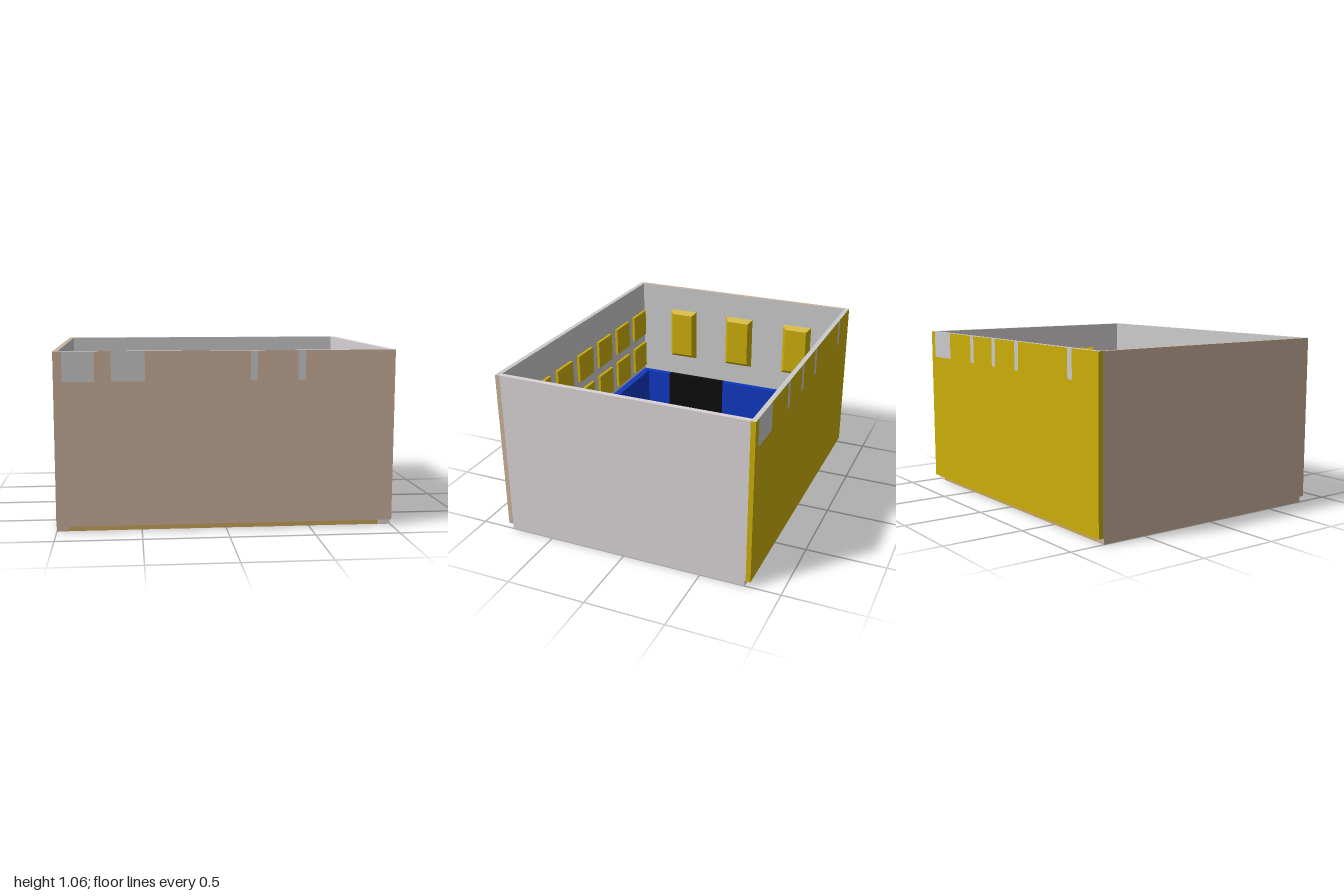
import * as THREE from 'three';

const mat = (color) => new THREE.MeshStandardMaterial({ color });

export function createModel() {
  const room = new THREE.Group();
  room.name = 'openRoom';

  const grey = mat(0xcccccc), tan = mat(0xcbb29c), yellow = mat(0xcbae08), white = mat(0xdad4d6);
  const blue = mat(0x1038c0), wood = mat(0xc9a55b), lineBlue = mat(0x3c3cc4), black = mat(0x0c0c0c);

  const add = (name, geometry, material) => {
    const mesh = new THREE.Mesh(geometry, material);
    mesh.name = name;
    room.add(mesh);
    return mesh;
  };
  // Box given by its lower and upper corner
  const box = (name, material, x0, x1, y0, y1, z0, z1) => {
    const mesh = add(name, new THREE.BoxGeometry(x1 - x0, y1 - y0, z1 - z0), material);
    mesh.position.set((x0 + x1) / 2, (y0 + y1) / 2, (z0 + z1) / 2);
    return mesh;
  };

  const TOP = 1.06, BASE = 0.035;

  // Floor slab and the sills under the side walls
  box('floor', wood, -0.93, 0.93, 0, BASE, -0.78, 0.78);
  box('rightSill', tan, -1, -0.93, 0, BASE, -0.78, 0.785);
  box('leftSill', white, 0.93, 1, 0, BASE, -0.78, 0.785);

  // Walls: painted outside, grey inside (face order +x -x +y -y +z -z)
  box('frontWall', [tan, tan, grey, tan, tan, grey], -1, 1, BASE, TOP, 0.785, 0.815);
  box('backWall', [yellow, yellow, grey, yellow, grey, yellow], -1, 1, BASE, TOP, -0.815, -0.785);
  box('rightWall', [grey, tan, tan, tan, tan, tan], -1, -0.97, BASE, TOP, -0.785, 0.785);
  box('leftWall', white, 0.968, 1, BASE, TOP, -0.785, 0.785);

  // Bare patches along the top of the outer faces
  const patch = (x0, x1, side) => {
    const mesh = add('barePatch', new THREE.PlaneGeometry(x1 - x0, TOP - 0.885), grey);
    mesh.position.set((x0 + x1) / 2, (TOP + 0.885) / 2, side * 0.816);
    if (side < 0) mesh.rotation.y = Math.PI;
  };
  [[-0.95, -0.765], [-0.67, -0.475], [0.14, 0.18], [0.42, 0.465]].forEach(([a, b]) => patch(a, b, 1));
  [[0.72, 0.95], [0.387, 0.43], [0.105, 0.148], [-0.175, -0.132], [-0.75, -0.705]]
    .forEach(([a, b]) => patch(a, b, -1));

  // Blue wainscot round the inside
  const RIM = 0.36;
  box('backWainscot', blue, -0.97, 0.968, BASE, RIM, -0.785, -0.742);
  box('frontWainscot', blue, -0.97, 0.968, BASE, RIM, 0.738, 0.785);
  box('leftWainscot', blue, 0.935, 0.968, BASE, RIM, -0.742, 0.738);
  box('rightWainscot', blue, -0.97, -0.93, BASE, RIM, -0.742, 0.11);
  box('rightWainscot', blue, -0.97, -0.93, BASE, RIM, 0.56, 0.738);
  box('door', black, -0.97, -0.93, BASE, RIM, 0.11, 0.56);

  // Two rows of seven panels on the long walls
  for (let i = 0; i < 7; i++) {
    const x = (i - 3) * 0.284;
    for (const y of [0.4, 0.66]) {
      box('backWindow', yellow, x - 0.098, x + 0.098, y, y + 0.19, -0.787, -0.767);
      box('frontWindow', yellow, x - 0.098, x + 0.098, y, y + 0.19, 0.765, 0.787);
    }
  }

  // Tall bevelled panels on the short walls
  const bevelled = new THREE.BoxGeometry(0.21, 0.375, 0.034);
  const p = bevelled.attributes.position;
  for (let i = 0; i < p.count; i++) {
    if (p.getZ(i) < 0) continue;
    p.setX(i, p.getX(i) - Math.sign(p.getX(i)) * 0.027);
    p.setY(i, p.getY(i) - Math.sign(p.getY(i)) * 0.027);
  }
  bevelled.computeVertexNormals();
  for (const side of [-1, 1]) {
    for (const z of [-0.45, 0, 0.45]) {
      const mesh = add(side < 0 ? 'rightWindow' : 'leftWindow', bevelled, yellow);
      mesh.position.set(side * 0.953, 0.698, z);
      mesh.rotation.y = -side * Math.PI / 2;
    }
  }

  // Court markings on the floor: x0, x1, z0, z1
  const lines = [
    [-0.82, -0.796, -0.485, 0.485],
    [-0.796, -0.565, -0.31, -0.285],
    [-0.796, -0.55, -0.098, -0.074],
    [-0.796, -0.55, 0.066, 0.09],
    [-0.55, -0.532, -0.074, 0.066],
    [-0.305, -0.285, -0.085, 0.28],
    [-0.796, -0.305, 0.28, 0.302],
    [-0.796, 0.44, 0.465, 0.485],
    [0.44, 0.54, -0.493, -0.482],
  ];
  for (const [x0, x1, z0, z1] of lines) box('floorLine', lineBlue, x0, x1, BASE, BASE + 0.002, z0, z1);

  return room;
}
